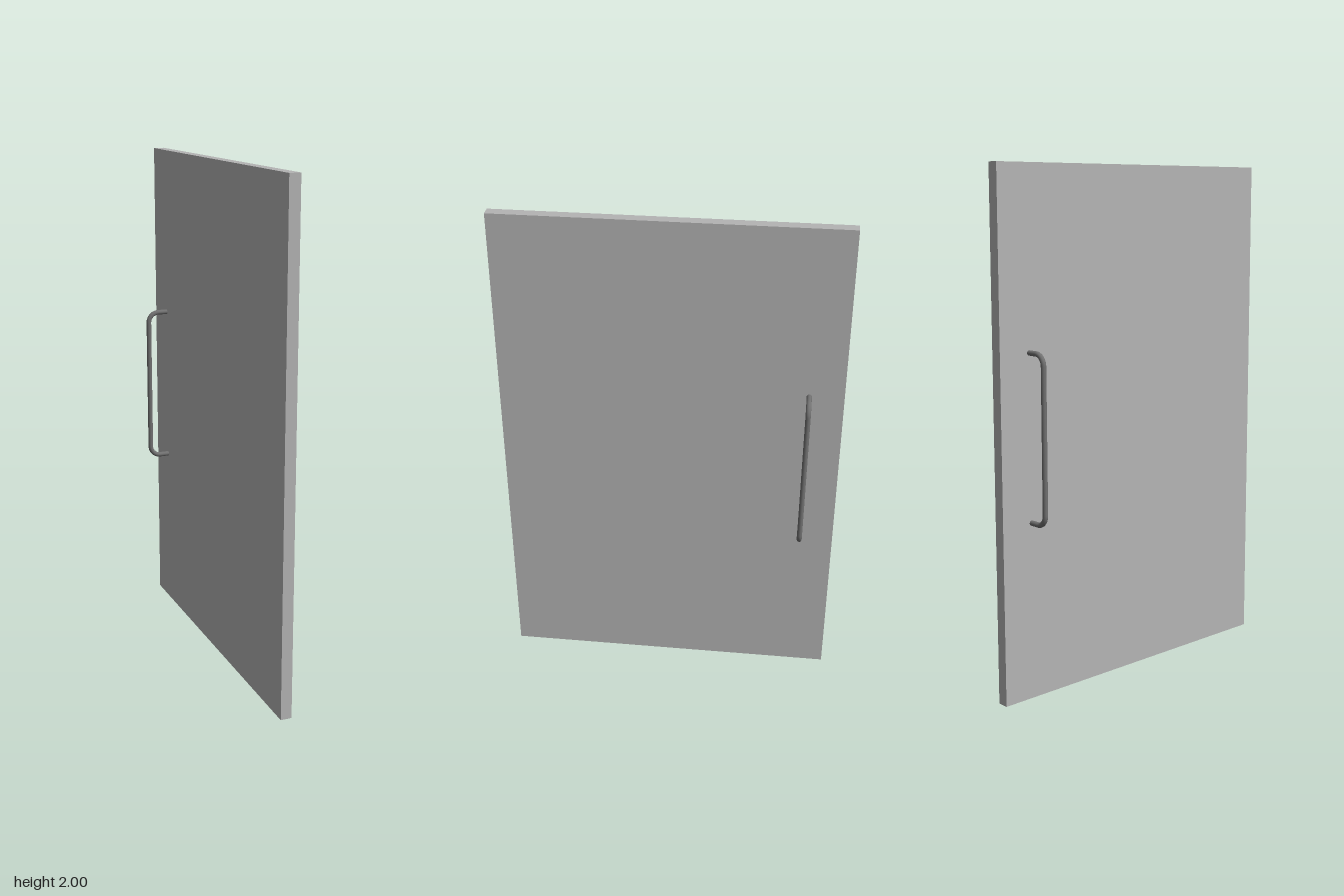
import * as THREE from 'three';

const panelMat = new THREE.MeshStandardMaterial({ color: 0xb4b4b4 });
panelMat.name = 'light grey panel';
const metalMat = new THREE.MeshStandardMaterial({ color: 0x707070 });
metalMat.name = 'dark grey metal';

const HALF_THICK = 0.022;
const HANDLE_Z = -0.532;

// Bent bar: out from the panel, up, and back in, with rounded corners
function makeHandle(side) {
  const root = side * (HALF_THICK - 0.004), out = side * 0.103;
  const bottom = 0.686, top = 1.322, bend = 0.042;
  const p = (x, y) => new THREE.Vector3(x, y, HANDLE_Z);
  const inner = out - side * bend;
  const k = 0.4477 * bend; // control offset for a circular corner

  const path = new THREE.CurvePath();
  path.add(new THREE.LineCurve3(p(root, bottom), p(inner, bottom)));
  path.add(new THREE.CubicBezierCurve3(
    p(inner, bottom), p(out - side * k, bottom), p(out, bottom + k), p(out, bottom + bend)));
  path.add(new THREE.LineCurve3(p(out, bottom + bend), p(out, top - bend)));
  path.add(new THREE.CubicBezierCurve3(
    p(out, top - bend), p(out, top - k), p(out - side * k, top), p(inner, top)));
  path.add(new THREE.LineCurve3(p(inner, top), p(root, top)));

  const handle = new THREE.Mesh(new THREE.TubeGeometry(path, 160, 0.01, 16, false), metalMat);
  handle.name = side > 0 ? 'leftHandle' : 'rightHandle';
  return handle;
}

export function createModel() {
  const door = new THREE.Group();
  door.name = 'door';

  // Door leaf
  const panel = new THREE.Mesh(new THREE.BoxGeometry(HALF_THICK * 2, 2, 1.33), panelMat);
  panel.name = 'doorPanel';
  panel.position.y = 1;
  door.add(panel);

  // Pull handle on each face
  for (const side of [-1, 1]) door.add(makeHandle(side));
  return door;
}
